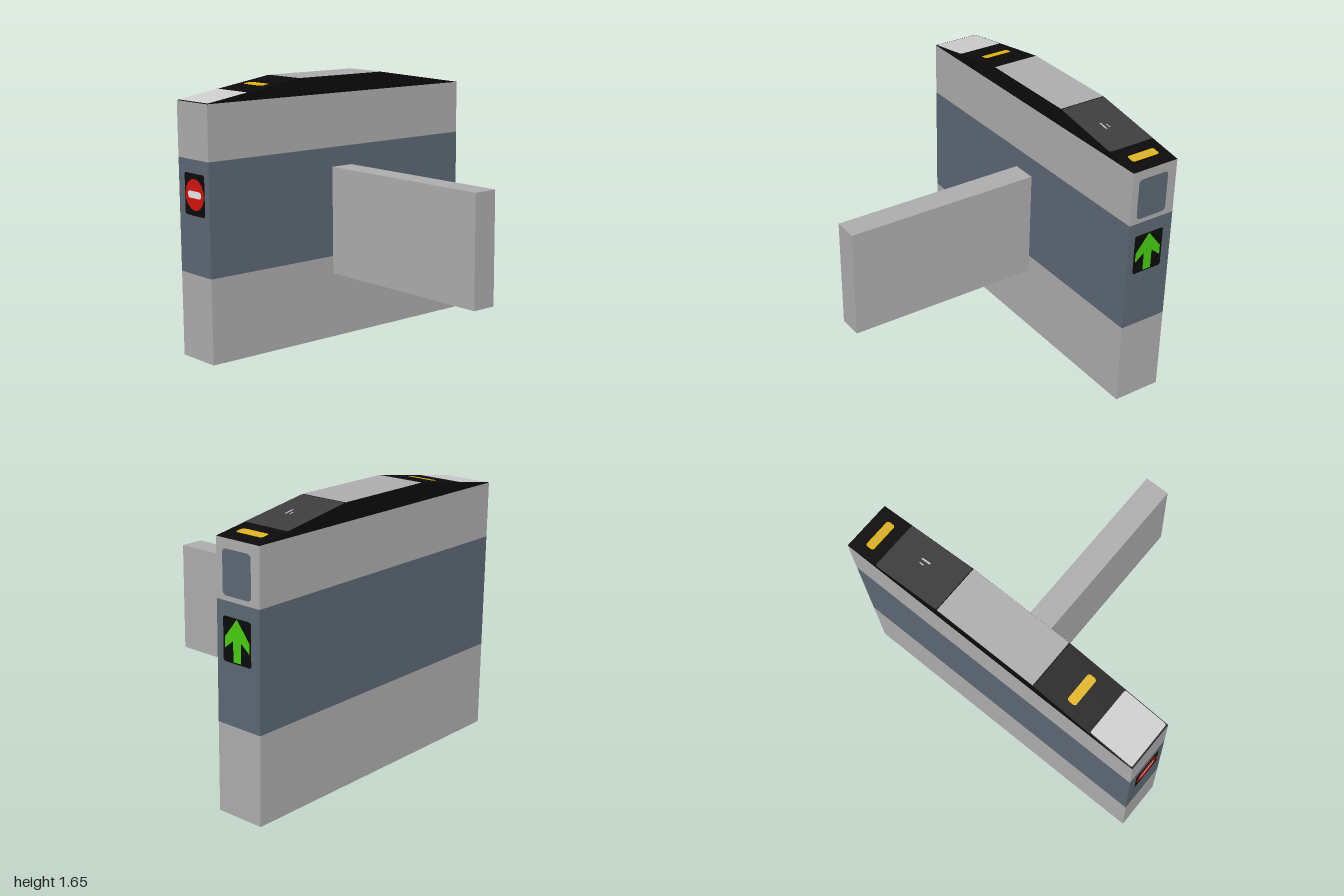
import * as THREE from 'three';

const mat = (name, color) => Object.assign(new THREE.MeshStandardMaterial({ color }), { name });

// rounded rectangle centred on (cx, cy)
function roundRect(cx, cy, w, h, r) {
  const s = new THREE.Shape(), a = w / 2 - r, b = h / 2 - r;
  s.absarc(cx + a, cy + b, r, 0, Math.PI / 2);
  s.absarc(cx - a, cy + b, r, Math.PI / 2, Math.PI);
  s.absarc(cx - a, cy - b, r, Math.PI, Math.PI * 1.5);
  s.absarc(cx + a, cy - b, r, Math.PI * 1.5, Math.PI * 2);
  s.closePath();
  return s;
}

export function createModel() {
  const M = {
    body: mat('brushed grey', 0xabacab),
    band: mat('slate blue', 0x5c6773),
    black: mat('black', 0x0b0b0b),
    dark: mat('dark grey', 0x3d3d3d),
    light: mat('light grey', 0xcbcbcb),
    yellow: mat('yellow', 0xe0b10c),
    green: mat('green', 0x47cb10),
    red: mat('red', 0xd2140c),
    white: mat('white', 0xf2f2f2),
  };
  const root = new THREE.Group();
  root.name = 'ticketGate';
  const add = (name, geo, material, parent = root) => {
    const m = new THREE.Mesh(geo, material);
    m.name = name;
    parent.add(m);
    return m;
  };

  const X = 0.997, BACK = -0.77, FRONT = -0.465, MID = (BACK + FRONT) / 2;
  const EAVE = 1.54, RIDGE = 1.645, FLAT = 0.335;

  // cabinet, stacked in three colour bands
  const slab = (name, y0, y1, material) =>
    add(name, new THREE.BoxGeometry(2 * X, y1 - y0, FRONT - BACK), material)
      .position.set(0, (y0 + y1) / 2, MID);
  slab('lowerCabinet', 0, 0.52, M.body);
  slab('middleBand', 0.52, 1.207, M.band);
  slab('upperCabinet', 1.207, EAVE, M.body);

  // barrier flap
  add('barrierFlap', new THREE.BoxGeometry(0.156, 0.675, 0.768 - FRONT), M.body)
    .position.set(0, 0.747, (0.768 + FRONT) / 2);

  // sloped black cap
  const cap = new THREE.Shape();
  cap.moveTo(-X, EAVE);
  cap.lineTo(X, EAVE);
  cap.lineTo(FLAT, RIDGE);
  cap.lineTo(-FLAT, RIDGE);
  add('cap', new THREE.ExtrudeGeometry(cap, { depth: FRONT - BACK, bevelEnabled: false }), M.black)
    .position.z = BACK;

  // flat plates draped onto the cap
  const capHeight = (x) =>
    RIDGE - Math.max(0, Math.abs(x) - FLAT) / (X - FLAT) * (RIDGE - EAVE);
  const topPlate = (name, x0, x1, z0, z1, r, lift, material) => {
    const geo = new THREE.ShapeGeometry(
      roundRect((x0 + x1) / 2, -(z0 + z1) / 2, x1 - x0, z1 - z0, r), 6);
    geo.rotateX(-Math.PI / 2);
    const p = geo.attributes.position;
    for (let i = 0; i < p.count; i++) p.setY(i, capHeight(p.getX(i)) + lift);
    geo.computeVertexNormals();
    add(name, geo, material);
  };
  topPlate('endPanel', -0.988, -0.71, BACK + 0.006, FRONT - 0.004, 0.012, 0.002, M.light);
  topPlate('centrePanel', -0.328, 0.335, BACK + 0.001, FRONT - 0.001, 0.001, 0.002, M.body);
  topPlate('readerPanel', 0.34, 0.787, BACK + 0.001, FRONT - 0.001, 0.012, 0.002, M.dark);
  topPlate('readerMark', 0.545, 0.605, -0.59, -0.58, 0.002, 0.004, M.light);
  topPlate('readerMarkShort', 0.57, 0.6, -0.615, -0.608, 0.002, 0.004, M.light);
  topPlate('leftTicketSlot', 0.86, 0.917, -0.71, -0.525, 0.015, 0.003, M.yellow);
  topPlate('leftSlotOpening', 0.886, 0.892, -0.7, -0.535, 0.002, 0.005, M.body);
  topPlate('rightTicketSlot', -0.565, -0.51, -0.71, -0.525, 0.015, 0.003, M.yellow);

  // signs on the two ends, drawn facing +z and turned outwards
  const endGroup = (name, side) => {
    const g = new THREE.Group();
    g.name = name;
    g.rotation.y = side * Math.PI / 2;
    g.position.set(side * X, 0, -0.61);
    root.add(g);
    return g;
  };
  const plate = (parent, name, shape, lift, material) => {
    add(name, new THREE.ShapeGeometry(shape, 10), material, parent).position.z = lift;
  };
  const entry = endGroup('entryEnd', 1), exit = endGroup('noEntryEnd', -1);
  plate(entry, 'sensorWindow', roundRect(0, 1.36, 0.202, 0.25, 0.025), 0.001, M.band);
  for (const g of [entry, exit])
    plate(g, 'signPanel', roundRect(0, 1.0, 0.2, 0.25, 0.015), 0.001, M.black);

  // green arrow
  const arrow = new THREE.Shape([
    [0, 1.122], [-0.088, 1.01], [-0.088, 0.95], [-0.028, 0.998], [-0.028, 0.883],
    [0.028, 0.883], [0.028, 0.998], [0.088, 0.95], [0.088, 1.01],
  ].map(([x, y]) => new THREE.Vector2(x, y)));
  plate(entry, 'greenArrow', arrow, 0.002, M.green);

  // no-entry disc and bar
  const disc = new THREE.Shape();
  disc.absarc(0, 1.0, 0.094, 0, Math.PI * 2);
  plate(exit, 'redDisc', disc, 0.002, M.red);
  plate(exit, 'whiteBar', roundRect(0, 1.0, 0.13, 0.042, 0.015), 0.003, M.white);

  return root;
}
